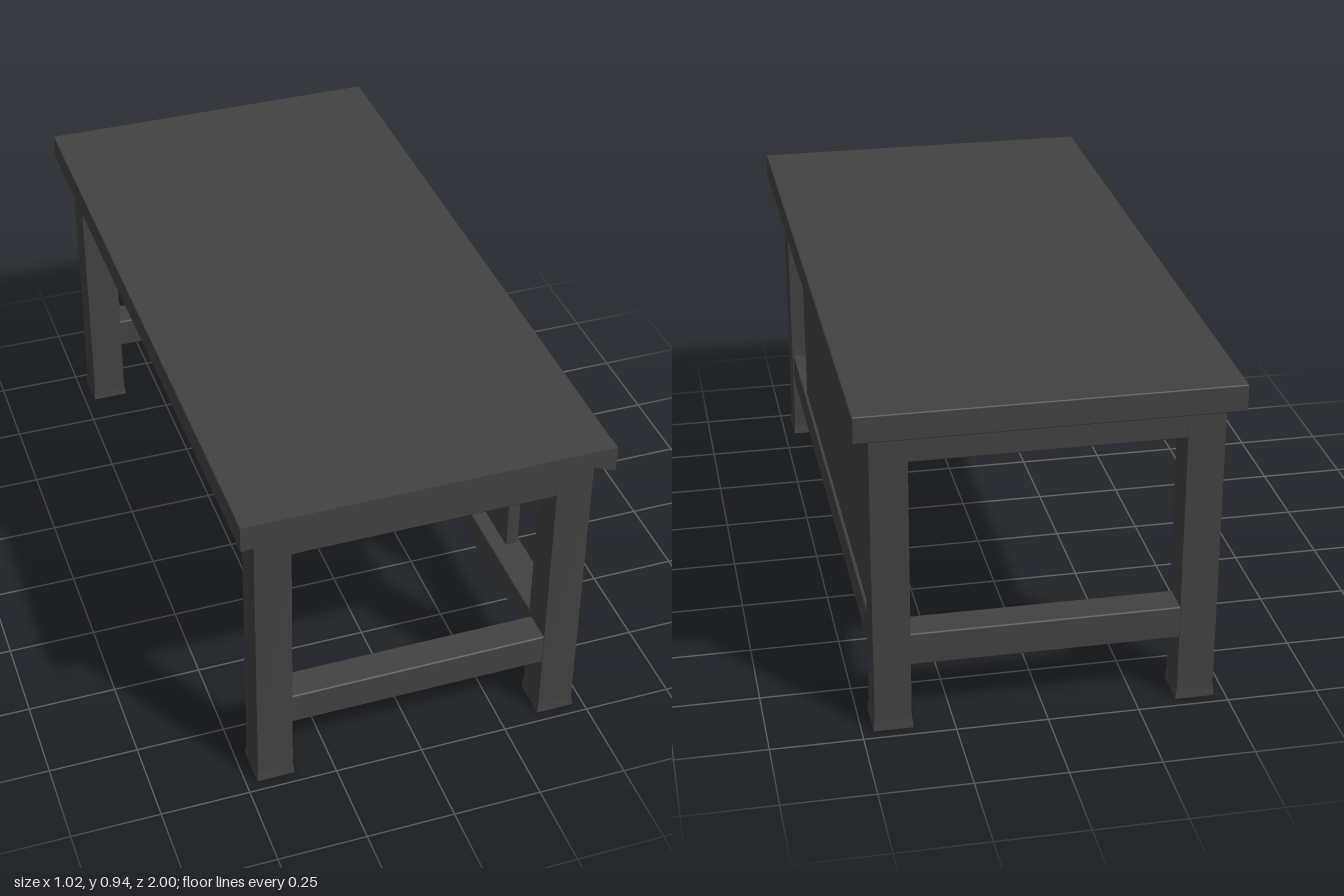
import * as THREE from 'three';
import { RoundedBoxGeometry } from 'three/addons/geometries/RoundedBoxGeometry.js';

export function createModel() {
  const group = new THREE.Group();
  group.name = 'desk';
  const charcoal = new THREE.MeshStandardMaterial({ color: 0x424242 });
  charcoal.name = 'charcoal';

  const add = (name, geometry) => {
    const mesh = new THREE.Mesh(geometry, charcoal);
    mesh.name = name;
    group.add(mesh);
    return mesh;
  };
  // Softly edged beam given by its extents on each axis
  const beam = (name, [x0, x1], [y0, y1], [z0, z1], radius = 0.005) =>
    add(name, new RoundedBoxGeometry(x1 - x0, y1 - y0, z1 - z0, 2, radius))
      .position.set((x0 + x1) / 2, (y0 + y1) / 2, (z0 + z1) / 2);

  // Table top, with a worn lower edge along the front
  beam('tableTop', [-0.51, 0.51], [0.87, 0.945], [-1, 0.965], 0.004);
  const edge = [
    [-0.51, 0.868], [-0.39, 0.878], [-0.2, 0.882], [-0.12, 0.9], [0.03, 0.883], [0.05, 0.875],
    [0.09, 0.878], [0.11, 0.9], [0.135, 0.897], [0.155, 0.877], [0.3, 0.892], [0.43, 0.901], [0.51, 0.868],
    [0.51, 0.945], [-0.51, 0.945],
  ];
  const lip = new THREE.Shape(edge.map(([x, y]) => new THREE.Vector2(x, y)));
  add('tableTopFrontEdge', new THREE.ExtrudeGeometry(lip, { depth: 0.04, bevelEnabled: false }))
    .position.z = 0.96;

  // Four square legs, flared slightly at the foot
  const levels = [0, 0.015, 0.035, 0.88];
  const flare = [1.08, 1.06, 1, 1];
  for (const sx of [-1, 1]) {
    for (const sz of [-1, 1]) {
      const geometry = new THREE.BoxGeometry(0.1, 3, 0.105, 1, 3, 1);
      const p = geometry.attributes.position;
      for (let i = 0; i < p.count; i++) {
        const row = Math.round(p.getY(i) + 1.5);
        p.setXYZ(i, p.getX(i) * flare[row], levels[row], p.getZ(i) * flare[row]);
      }
      geometry.computeVertexNormals();
      add(`${sz > 0 ? 'front' : 'back'}${sx > 0 ? 'Left' : 'Right'}Leg`, geometry)
        .position.set(sx * 0.415, 0, sz * 0.912);
    }
  }

  // Aprons under the top on all four sides
  const apronY = [0.788, 0.9];
  beam('frontApron', [-0.39, 0.39], apronY, [0.87, 0.963]);
  beam('backApron', [-0.39, 0.39], apronY, [-0.963, -0.87]);
  beam('leftApron', [0.37, 0.463], apronY, [-0.88, 0.88]);
  beam('rightApron', [-0.463, -0.37], apronY, [-0.88, 0.88]);

  // Low stretchers at both ends and along the panel side
  const stretcherY = [0.19, 0.285];
  beam('frontStretcher', [-0.39, 0.39], stretcherY, [0.87, 0.962]);
  beam('backStretcher', [-0.39, 0.39], stretcherY, [-0.962, -0.87]);
  beam('leftStretcher', [0.37, 0.462], [0.195, 0.285], [-0.88, 0.88]);

  // Modesty panel set between apron and stretcher, open towards the front
  beam('sidePanel', [0.415, 0.452], [0.27, 0.8], [-0.88, 0.57], 0.003);

  return group;
}
